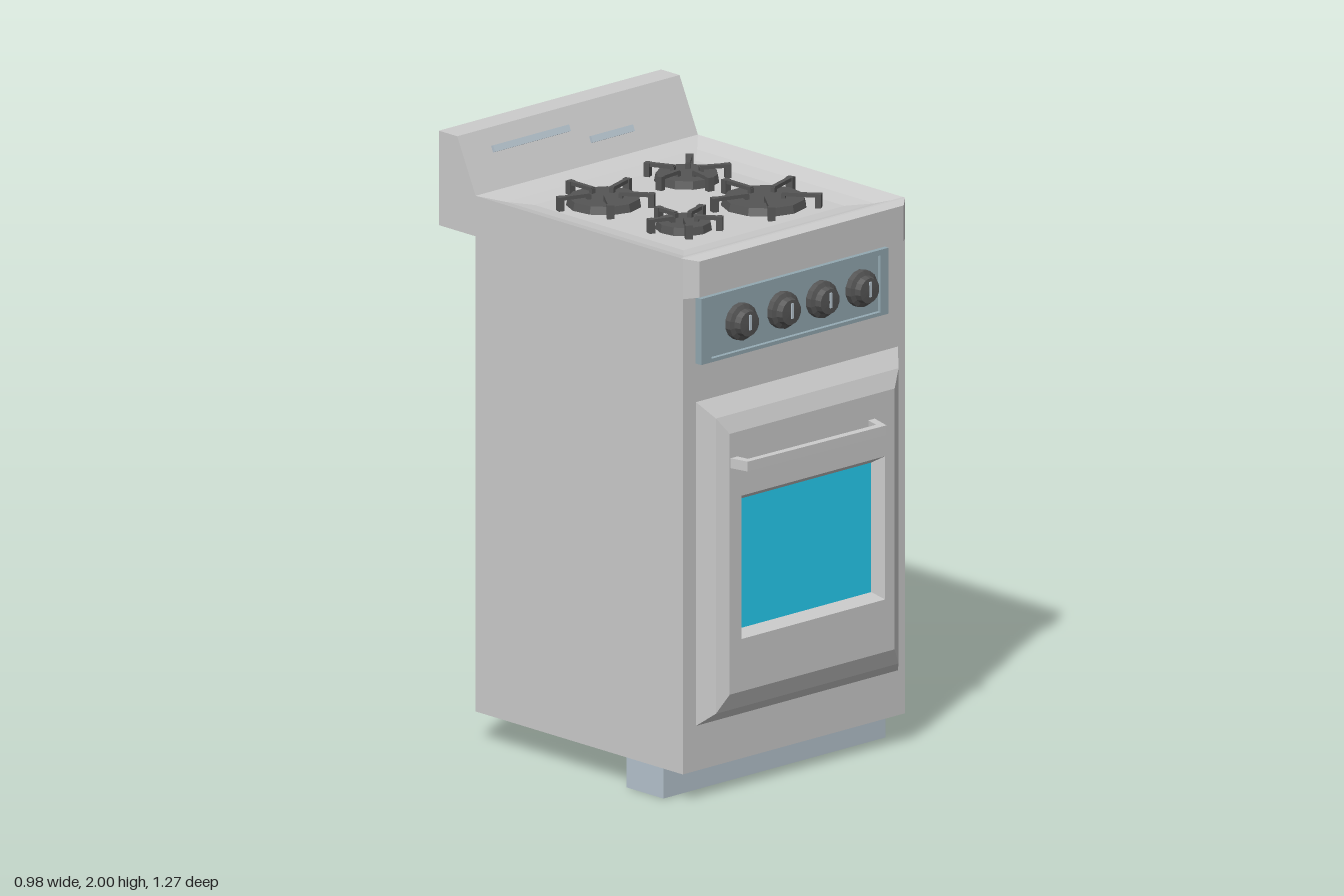
import * as THREE from 'three';

const mat = (color) => new THREE.MeshStandardMaterial({ color, flatShading: true });

// Loft of rectangular rings [x0, x1, y0, y1, z], wound to face +z
function loft(rings, capStart, capEnd) {
  const pos = [];
  const loops = rings.map(([x0, x1, y0, y1, z]) => [[x0, y0, z], [x1, y0, z], [x1, y1, z], [x0, y1, z]]);
  const quad = (a, b, c, d) => pos.push(...a, ...b, ...c, ...a, ...c, ...d);
  for (let k = 0; k < loops.length - 1; k++) {
    const A = loops[k], B = loops[k + 1];
    for (let i = 0; i < 4; i++) {
      const j = (i + 1) % 4;
      quad(A[i], A[j], B[j], B[i]);
    }
  }
  if (capStart) { const [a, b, c, d] = loops[0]; quad(d, c, b, a); }
  if (capEnd) quad(...loops[loops.length - 1]);
  const geo = new THREE.BufferGeometry();
  geo.setAttribute('position', new THREE.Float32BufferAttribute(pos, 3));
  geo.computeVertexNormals();
  return geo;
}

export function createModel() {
  const model = new THREE.Group();
  model.name = 'stove';
  const grey = mat(0xcccccc), steel = mat(0xb6c4ce), panelBlue = mat(0x93a8b1);
  const dark = mat(0x555555), glassBlue = mat(0x26d0f5);

  const add = (name, geo, material, parent = model) => {
    const mesh = new THREE.Mesh(geo, material);
    mesh.name = name;
    parent.add(mesh);
    return mesh;
  };
  const box = (name, w, h, d, x, y, z, material, parent) => {
    const mesh = add(name, new THREE.BoxGeometry(w, h, d), material, parent);
    mesh.position.set(x, y, z);
    return mesh;
  };
  const extrude = (points, depth) => new THREE.ExtrudeGeometry(
    new THREE.Shape(points.map(([x, y]) => new THREE.Vector2(x, y))),
    { depth, bevelEnabled: false });

  // Cabinet with a shallow sunken cooktop (lofted upward)
  const cabinet = loft([
    [-0.49, 0.49, -0.49, 0.47, 0.1],
    [-0.49, 0.49, -0.49, 0.47, 1.82],
    [-0.42, 0.42, -0.42, 0.4, 1.8],
    [-0.355, 0.355, -0.35, 0.34, 1.79],
  ], true, true);
  cabinet.rotateX(-Math.PI / 2);
  add('cabinet', cabinet, grey);

  // Plinth
  box('plinth', 0.98, 0.1, 0.17, 0, 0.05, 0.315, steel);

  // Front edge of the cooktop
  add('cooktopLip', loft([
    [-0.49, 0.49, 1.685, 1.82, 0.48],
    [-0.49, 0.49, 1.685, 1.82, 0.49],
    [-0.45, 0.45, 1.69, 1.81, 0.525],
  ], true, true), grey);

  // Splashback with a sloped face
  const back = extrude([[0.47, 1.685], [0.64, 1.685], [0.64, 2], [0.555, 2], [0.47, 1.82]], 0.98);
  back.rotateY(Math.PI / 2);
  back.translate(-0.49, 0, 0);
  back.scale(1, 1, 1);
  add('splashback', back, grey);

  // Trim strips on the splashback slope
  const slope = Math.atan2(0.085, 0.18);
  for (const [x, w, y] of [[-0.197, 0.335, 1.937], [0.138, 0.185, 1.888]]) {
    const strip = box('trimStrip', w, 0.022, 0.02, x, y, -0.47 - (y - 1.82) * 0.085 / 0.18, steel);
    strip.rotation.x = -slope;
  }

  // Control panel with a raised frame
  add('controlPanel', loft([
    [-0.435, 0.39, 1.46, 1.68, 0.485],
    [-0.435, 0.39, 1.46, 1.68, 0.518],
    [-0.39, 0.355, 1.472, 1.662, 0.518],
    [-0.388, 0.353, 1.474, 1.66, 0.508],
  ], true, true), panelBlue);

  // Control knobs
  for (const x of [-0.26, -0.075, 0.095, 0.27]) {
    const knob = new THREE.Group();
    knob.name = 'knob';
    knob.position.set(x, 1.57, 0.508);
    const dial = new THREE.LatheGeometry([[0, 0], [0.061, 0], [0.061, 0.022], [0.046, 0.028], [0.042, 0.05], [0, 0.053]]
      .map(([r, h]) => new THREE.Vector2(r, h)), 14);
    dial.rotateX(Math.PI / 2);
    add('dial', dial, dark, knob);
    box('pointer', 0.009, 0.05, 0.012, 0, 0.005, 0.05, steel, knob);
    model.add(knob);
  }

  // Oven door: rounded-off bevel, flat face and window recess
  add('ovenDoor', loft([
    [-0.432, 0.458, 0.25, 1.33, 0.485],
    [-0.432, 0.458, 0.25, 1.33, 0.49],
    [-0.385, 0.42, 0.29, 1.275, 0.533],
    [-0.345, 0.382, 0.35, 1.22, 0.555],
    [-0.293, 0.34, 0.525, 1.003, 0.555],
    [-0.265, 0.312, 0.548, 0.98, 0.52],
  ], true, false), grey);
  add('ovenWindow', loft([
    [-0.265, 0.312, 0.548, 0.98, 0.515],
    [-0.265, 0.312, 0.548, 0.98, 0.52],
  ], true, true), glassBlue);

  // Door handle, a U-shaped bar
  const handle = extrude([
    [-0.342, -0.55], [-0.328, -0.62], [0.27, -0.635], [0.296, -0.55],
    [0.268, -0.55], [0.25, -0.607], [-0.305, -0.597], [-0.312, -0.55],
  ], 0.033);
  handle.rotateX(-Math.PI / 2);
  handle.translate(0, 1.105, 0);
  add('doorHandle', handle, grey);

  // Burners: a low cap under five bent grate arms
  for (const [x, z, r, turn] of [
    [-0.19, -0.19, 0.122, 0], [0.185, -0.2, 0.106, 0.44],
    [-0.185, 0.175, 0.092, 0], [0.18, 0.163, 0.139, 0],
  ]) {
    const burner = new THREE.Group();
    burner.name = 'burner';
    burner.position.set(x, 1.79, z);
    const cap = add('burnerCap', new THREE.CylinderGeometry(r * 0.95, r, 0.026, 11), dark, burner);
    cap.position.y = 0.013;
    for (let i = 0; i < 5; i++) {
      const arm = new THREE.Group();
      arm.name = 'grateArm';
      arm.rotation.y = Math.PI / 2 + turn + i * Math.PI * 2 / 5;
      box('armBar', r * 0.86, 0.012, 0.016, r * 0.85, 0.04, 0, dark, arm);
      box('armFoot', 0.02, 0.046, 0.024, r * 1.27, 0.023, 0, dark, arm);
      box('armTip', 0.014, 0.018, 0.016, r * 0.45, 0.033, 0, dark, arm);
      burner.add(arm);
    }
    model.add(burner);
  }

  return model;
}
